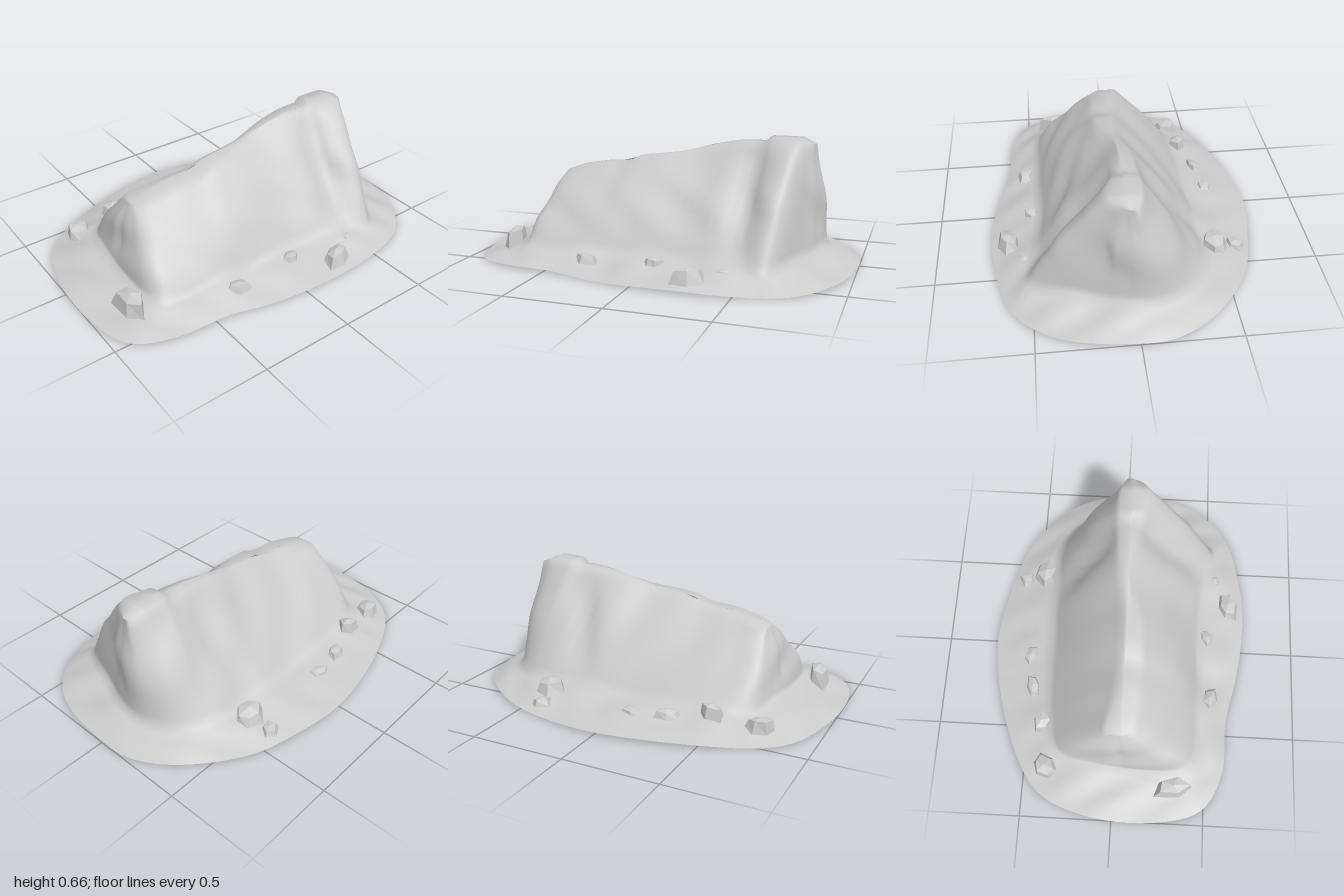
import * as THREE from 'three';

const material = new THREE.MeshStandardMaterial({ color: 0xcccccc, side: THREE.DoubleSide });
const stoneMaterial = new THREE.MeshStandardMaterial({ color: 0xcccccc, side: THREE.DoubleSide, flatShading: true });

// Matching [x, z] outlines, from the left end (+x) round the front to the right end and the back.
const RIM = [[1, 0], [0.94, 0.37], [0.75, 0.6], [0.4, 0.7], [0.15, 0.715], [-0.15, 0.68],
  [-0.42, 0.62], [-0.72, 0.6], [-0.92, 0.49], [-1, 0.22], [-0.98, -0.15], [-0.86, -0.42],
  [-0.55, -0.6], [-0.03, -0.72], [0.3, -0.68], [0.6, -0.59], [0.85, -0.4], [0.97, -0.2]];
const FOOT = [[0.82, -0.02], [0.74, 0.23], [0.61, 0.52], [0.46, 0.49], [0.17, 0.45], [-0.1, 0.45],
  [-0.4, 0.45], [-0.67, 0.43], [-0.72, 0.36], [-0.73, 0.15], [-0.71, -0.1], [-0.65, -0.31],
  [-0.45, -0.37], [-0.02, -0.39], [0.25, -0.39], [0.58, -0.38], [0.73, -0.29], [0.81, -0.14]];
const CREST = [[0.76, 0.03], [0.74, 0.08], [0.68, 0.12], [0.5, 0.08], [0.2, 0.04], [-0.05, 0.1],
  [-0.32, 0.11], [-0.56, 0.09], [-0.61, 0.07], [-0.62, 0.04], [-0.62, 0], [-0.61, -0.04],
  [-0.42, 0], [0, 0.02], [0.22, -0.01], [0.5, -0.03], [0.67, -0.03], [0.76, 0]];
// Ridge line as [x, y].
const RIDGE = [[-0.62, 0.43], [-0.55, 0.455], [-0.38, 0.49], [-0.25, 0.495], [-0.18, 0.53], [0.05, 0.56],
  [0.22, 0.605], [0.35, 0.63], [0.47, 0.635], [0.485, 0.61], [0.52, 0.66], [0.69, 0.66], [0.76, 0.63]];

const AROUND = 108;

function outline(points) {
  const curve = new THREE.CatmullRomCurve3(points.map(([x, z]) => new THREE.Vector3(x, 0, z)), true);
  return Array.from({ length: AROUND }, (_, i) => curve.getPoint(i / AROUND));
}

function ridgeHeight(x) {
  if (x <= RIDGE[0][0]) return RIDGE[0][1];
  for (let i = 1; i < RIDGE.length; i++) {
    const [x0, y0] = RIDGE[i - 1], [x1, y1] = RIDGE[i];
    if (x <= x1) return y0 + (y1 - y0) * (x - x0) / (x1 - x0);
  }
  return RIDGE[RIDGE.length - 1][1];
}

// Smooth, repeatable unevenness in about -1..1.
const rough = (x, y, z) =>
  0.5 * Math.sin(9 * x + 5 * y + 2) * Math.cos(8 * z - 9 * y) +
  0.5 * Math.sin(17 * x - 11 * z + 19 * y);

const gauss = (v, width) => Math.exp(-(v * v) / (width * width));

function buildMound() {
  const rim = outline(RIM), foot = outline(FOOT), crest = outline(CREST);
  rim.forEach((p, i) => { p.y = 0.011 + 0.007 * Math.sin(i * 0.35); });
  foot.forEach((p) => { p.y = 0.09 + 0.012 * rough(p.x, 0, p.z); });
  crest.forEach((p) => { p.y = ridgeHeight(p.x); });

  const rings = [];
  // Low apron of spread earth
  for (let k = 0; k < 6; k++) {
    const t = k / 6;
    rings.push(rim.map((p, i) => {
      const v = p.clone().lerp(foot[i], t);
      v.y += 0.014 * Math.sin(Math.PI * t) * rough(v.x * 1.5, 0, v.z * 1.5);
      return v;
    }));
  }
  // Steep walls: rounded front shoulder, grooves beside the tall end, hollow end face
  for (let k = 0; k <= 12; k++) {
    const t = k / 12, belly = Math.sin(Math.PI * t);
    rings.push(foot.map((p, i) => {
      const v = p.clone().lerp(crest[i], t);
      const out = p.clone().sub(crest[i]).setY(0).normalize();
      const bulge = out.z > 0 ? 0.033 * out.z : 0.015;
      const groove = out.z > 0
        ? 0.07 * out.z * gauss(v.x - 0.46, 0.08)
        : -0.05 * out.z * gauss(v.x - 0.3 - 0.14 * t, 0.07);
      const hollow = 0.045 * gauss(v.x - 0.75, 0.06) * gauss(v.z - 0.18, 0.1);
      return v.addScaledVector(out, belly * (bulge + 0.016 * rough(v.x, v.y, v.z) - groove - hollow));
    }));
  }
  // Narrow top closing on the ridge line
  rings.push(crest.map((p) => new THREE.Vector3(p.x, p.y + 0.002, 0.035)));

  const positions = rings.flat().flatMap((p) => [p.x, p.y, p.z]);
  const index = [];
  for (let r = 0; r < rings.length - 1; r++) {
    for (let i = 0; i < AROUND; i++) {
      const j = (i + 1) % AROUND, a = r * AROUND, b = a + AROUND;
      index.push(a + i, b + i, a + j, a + j, b + i, b + j);
    }
  }
  const geometry = new THREE.BufferGeometry();
  geometry.setAttribute('position', new THREE.Float32BufferAttribute(positions, 3));
  geometry.setIndex(index);
  geometry.computeVertexNormals();
  const mesh = new THREE.Mesh(geometry, material);
  mesh.name = 'rockMound';
  return mesh;
}

// Angular slab, open underneath and rising out of the apron with a tilted top.
function buildStone([x, z, width, base, top, depth, turn], n) {
  const profile = [[1, 0], [0.72, 0.8], [0, 1]].map(([r, h]) => new THREE.Vector2(r, h));
  const geometry = new THREE.LatheGeometry(profile, 5 + (n % 2));
  const pos = geometry.attributes.position;
  for (let i = 0; i < pos.count; i++) {
    const px = pos.getX(i), py = pos.getY(i), pz = pos.getZ(i);
    const k = 1 + 0.15 * Math.sin(3 * px + 4 * pz + n * 2);
    const tilt = 1 + 0.25 * (px * Math.cos(n) + pz * Math.sin(n)) * py;
    pos.setXYZ(i, px * k * width / 2, py * tilt * (top - base), pz * k * depth / 2);
  }
  geometry.computeVertexNormals();
  const mesh = new THREE.Mesh(geometry, stoneMaterial);
  mesh.name = 'looseStone';
  mesh.position.set(x, base, z);
  mesh.rotation.y = turn;
  return mesh;
}

export function createModel() {
  const group = new THREE.Group();
  group.name = 'rockOutcrop';
  group.add(buildMound());

  // x, z, width, base height, top height, depth, turn
  const stones = [
    [-0.81, 0.33, 0.13, 0.04, 0.15, 0.24, 0.1],
    [0.27, 0.62, 0.18, 0.03, 0.11, 0.13, 0.2],
    [-0.3, 0.52, 0.13, 0.05, 0.095, 0.09, -0.3],
    [0.06, 0.5, 0.12, 0.06, 0.1, 0.08, 0.4],
    [0.43, 0.54, 0.1, 0.05, 0.09, 0.08, 0.3],
    [-0.73, -0.38, 0.16, 0.04, 0.11, 0.13, 0.8],
    [-0.49, -0.41, 0.14, 0.06, 0.145, 0.12, 0.3],
    [-0.28, -0.48, 0.14, 0.05, 0.1, 0.09, 0.2],
    [-0.09, -0.51, 0.13, 0.045, 0.085, 0.09, -0.4],
    [0.42, -0.46, 0.18, 0.05, 0.135, 0.14, 0.3],
    [0.4, -0.58, 0.12, 0.03, 0.07, 0.1, 0.6],
  ];
  stones.forEach((stone, n) => group.add(buildStone(stone, n)));
  return group;
}
